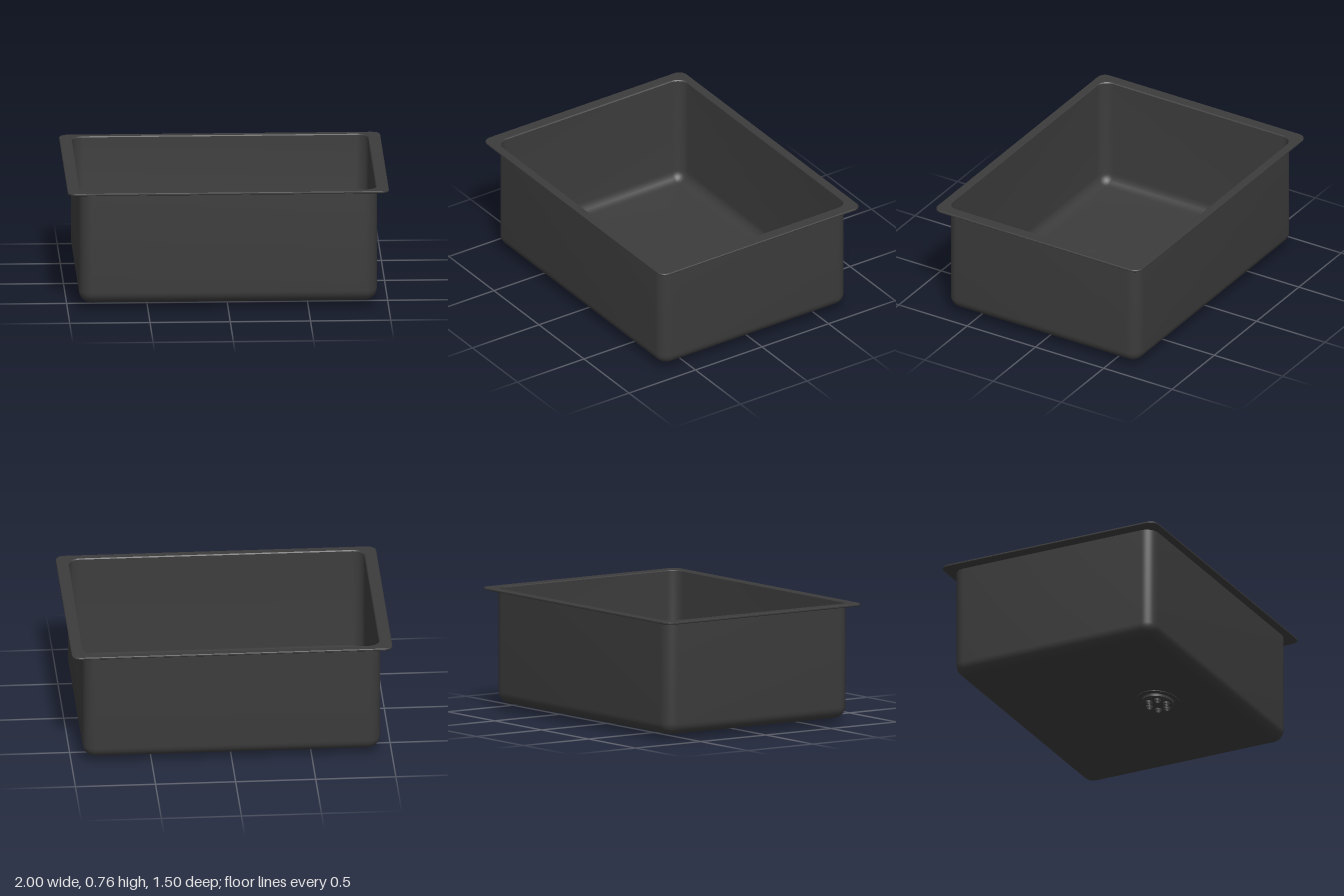
import * as THREE from 'three';
import { toCreasedNormals } from 'three/addons/utils/BufferGeometryUtils.js';

const N = 10; // steps per corner
const DRAIN_Z = 0.265, SQUASH = 0.79;

// Rounded-rectangle section, 4 * (N + 1) points
function rectLoop(hx, hz, r, y) {
  const pts = [];
  for (let q = 0; q < 4; q++) {
    const sx = q === 0 || q === 3 ? 1 : -1, sz = q < 2 ? 1 : -1;
    for (let k = 0; k <= N; k++) {
      const a = (q + k / N) * Math.PI / 2;
      pts.push([sx * (hx - r) + r * Math.cos(a), y, sz * (hz - r) + r * Math.sin(a)]);
    }
  }
  return pts;
}

// Oval section around the drain, same point count
function drainLoop(r, y) {
  const pts = [];
  for (let i = 0; i < 4 * (N + 1); i++) {
    const a = (i + 0.5) / (N + 1) * Math.PI / 2;
    pts.push([r * Math.cos(a), y, DRAIN_Z + SQUASH * r * Math.sin(a)]);
  }
  return pts;
}

// Skin consecutive closed sections
function loft(loops, crease) {
  const n = loops[0].length, index = [];
  for (let j = 0; j < loops.length - 1; j++) {
    for (let i = 0; i < n; i++) {
      const a = j * n + i, b = j * n + (i + 1) % n;
      index.push(a, a + n, b, b, a + n, b + n);
    }
  }
  const geo = new THREE.BufferGeometry();
  geo.setAttribute('position', new THREE.Float32BufferAttribute(loops.flat(2), 3));
  geo.setIndex(index);
  return toCreasedNormals(geo, crease);
}

// Bottom fillet sections, from the floor up to the wall
function fillet(hx, hz, r, y, f) {
  const loops = [];
  for (let k = 0; k <= 8; k++) {
    const a = k / 8 * Math.PI / 2, d = f * (1 - Math.sin(a));
    loops.push(rectLoop(hx - d, hz - d, r - d, y + f * (1 - Math.cos(a))));
  }
  return loops;
}

export function createModel() {
  const root = new THREE.Group();
  root.name = 'sink';
  const mat = new THREE.MeshStandardMaterial({ color: 0x3c3c3c, side: THREE.DoubleSide });
  const add = (parent, name, geo) => {
    const mesh = new THREE.Mesh(geo, mat);
    mesh.name = name;
    parent.add(mesh);
    return mesh;
  };

  // Basin: underside, outer wall, rim, inner wall and floor in one skin
  add(root, 'basin', loft([
    drainLoop(0.15, 0.04),
    ...fillet(0.928, 0.7, 0.08, 0.04, 0.075),
    rectLoop(0.928, 0.7, 0.08, 0.75),
    rectLoop(0.995, 0.745, 0.05, 0.75),
    rectLoop(1, 0.75, 0.055, 0.754),
    rectLoop(1, 0.75, 0.055, 0.761),
    rectLoop(0.995, 0.745, 0.05, 0.765),
    rectLoop(0.928, 0.7, 0.08, 0.765),
    rectLoop(0.922, 0.694, 0.074, 0.759),
    ...fillet(0.922, 0.694, 0.074, 0.047, 0.07).reverse(),
    drainLoop(0.15, 0.047),
  ], 0.6));

  // Drain, squashed to an oval
  const drain = new THREE.Group();
  drain.name = 'drain';
  drain.position.z = DRAIN_Z;
  drain.scale.z = SQUASH;
  root.add(drain);

  // Flange and cup
  const profile = [[0.105, 0.013], [0.115, 0.015], [0.12, 0.02], [0.12, 0.036], [0.16, 0.036],
    [0.16, 0.048], [0.154, 0.05], [0.126, 0.045], [0.115, 0.036], [0.115, 0.026], [0.105, 0.024]];
  add(drain, 'drainCup', toCreasedNormals(
    new THREE.LatheGeometry(profile.map(p => new THREE.Vector2(...p)), 48), 0.6));

  // Strainer plate with a ring of six holes
  const holes = Array.from({ length: 6 }, (_, i) => {
    const a = Math.PI / 6 + i * Math.PI / 3;
    return [0.075 * Math.cos(a), 0.075 * Math.sin(a)];
  });
  const plate = new THREE.Shape().absarc(0, 0, 0.108, 0, Math.PI * 2);
  for (const [x, y] of holes) {
    plate.holes.push(new THREE.Path().absarc(x, y, 0.02, 0, Math.PI * 2, true));
  }
  const plateGeo = new THREE.ExtrudeGeometry(plate, { depth: 0.012, bevelEnabled: false, curveSegments: 20 });
  plateGeo.rotateX(-Math.PI / 2).translate(0, 0.013, 0);
  add(drain, 'strainer', plateGeo);

  // Short collars below the holes
  const collar = [[0.02, 0.014], [0.02, 0], [0.026, 0], [0.026, 0.014]].map(p => new THREE.Vector2(...p));
  const collarGeo = toCreasedNormals(new THREE.LatheGeometry(collar, 20), 0.6);
  for (const [x, z] of holes) add(drain, 'holeCollar', collarGeo).position.set(x, 0, z);

  return root;
}
